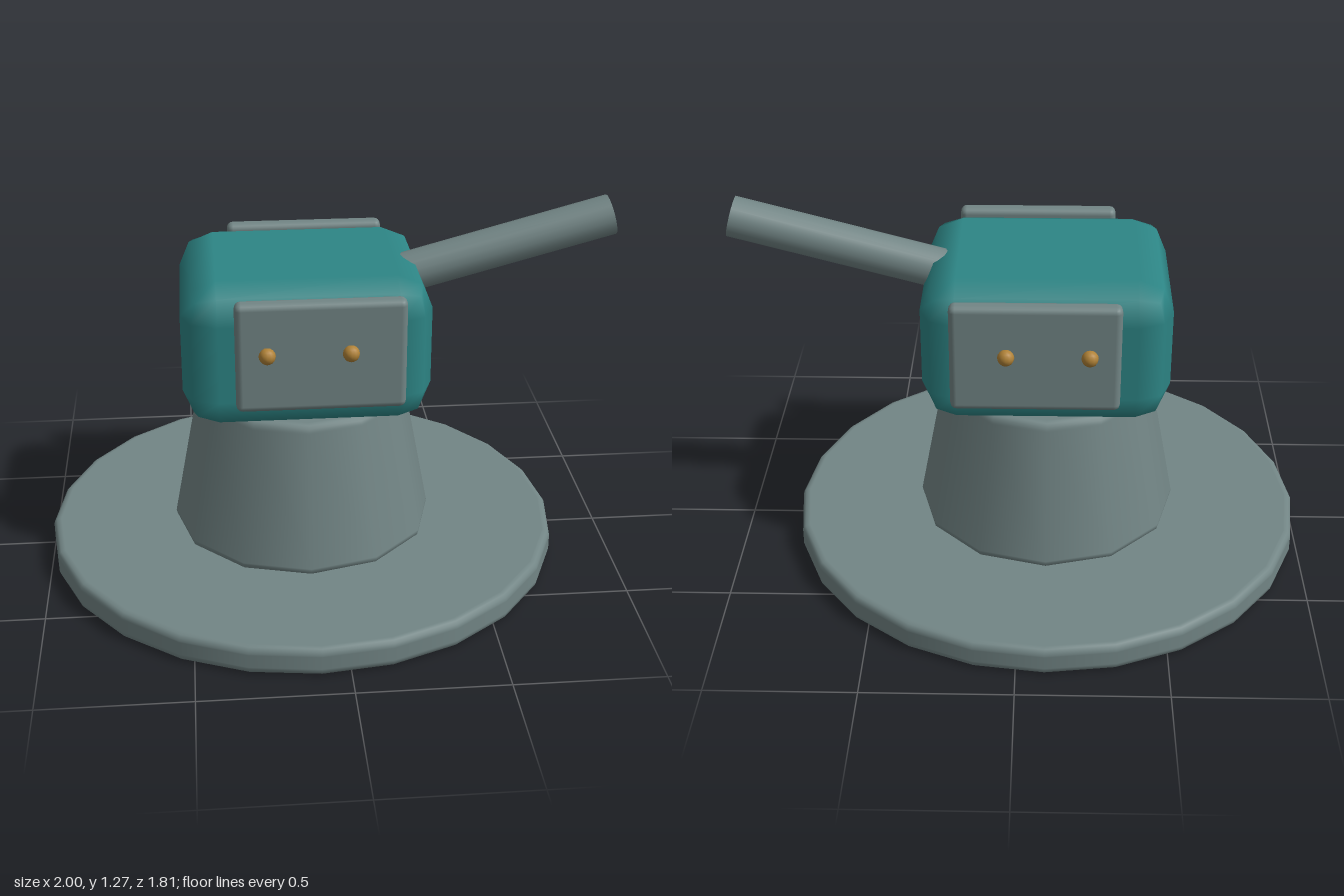
import * as THREE from 'three';
import { RoundedBoxGeometry } from 'three/addons/geometries/RoundedBoxGeometry.js';

const CX = -0.095; // turret axis

export function createModel() {
  const model = new THREE.Group();
  model.name = 'turret';

  const material = (name, color) => {
    const m = new THREE.MeshStandardMaterial({ color });
    m.name = name;
    return m;
  };
  const steel = material('greySteel', 0x728585);
  const teal = material('tealPaint', 0x2d8585);
  const brass = material('brass', 0xb08237);

  const add = (name, geometry, mat, x, y, z) => {
    const mesh = new THREE.Mesh(geometry, mat);
    mesh.name = name;
    mesh.position.set(x, y, z);
    model.add(mesh);
    return mesh;
  };

  // Tapered disc with rounded rims; points beside each rim keep the flats flat
  const roundedDisc = (rBottom, rTop, height, bevel, sides) => {
    const points = [[0, 0], [rBottom - bevel - 0.005, 0]];
    const arc = (r, y, from) => {
      for (let i = 0; i <= 3; i++) {
        const a = from + (i * Math.PI) / 6;
        points.push([r - bevel + bevel * Math.cos(a), y + bevel * Math.sin(a)]);
      }
    };
    const slope = (rTop - rBottom) / (height - 2 * bevel);
    arc(rBottom, bevel, -Math.PI / 2);
    points.push([rBottom + slope * 0.005, bevel + 0.005]);
    points.push([rTop - slope * 0.005, height - bevel - 0.005]);
    arc(rTop, height - bevel, 0);
    points.push([rTop - bevel - 0.005, height], [0, height]);
    return new THREE.LatheGeometry(points.map(([r, y]) => new THREE.Vector2(r, y)), sides);
  };

  // Ground plate and pedestal
  add('basePlate', roundedDisc(0.905, 0.905, 0.1, 0.022, 24), steel, CX, 0, 0);
  add('pedestal', roundedDisc(0.46, 0.368, 0.53, 0.025, 12), steel, CX, 0.09, 0);

  // Chunky rounded housing
  add('housing', new RoundedBoxGeometry(0.84, 0.51, 0.71, 1, 0.12), teal, -0.09, 0.845, 0);

  // Raised barrel, pointing to +x
  const tilt = THREE.MathUtils.degToRad(15);
  const length = 0.85;
  const barrel = add('barrel', new THREE.CylinderGeometry(0.07, 0.07, length, 16), steel,
    0.978 - Math.cos(tilt) * length / 2, 1.207 - Math.sin(tilt) * length / 2, 0);
  barrel.rotation.z = tilt - Math.PI / 2;

  // Riveted armour panel on each side
  for (const side of [1, -1]) {
    const label = side > 0 ? 'front' : 'back';
    add(label + 'Panel', new RoundedBoxGeometry(0.56, 0.38, 0.06, 2, 0.022), steel,
      -0.055, 0.89, side * 0.385);
    for (const x of [-0.232, 0.04]) {
      add(label + 'Rivet', new THREE.SphereGeometry(0.028, 12, 8), brass, x, 0.905, side * 0.42);
    }
  }

  return model;
}
